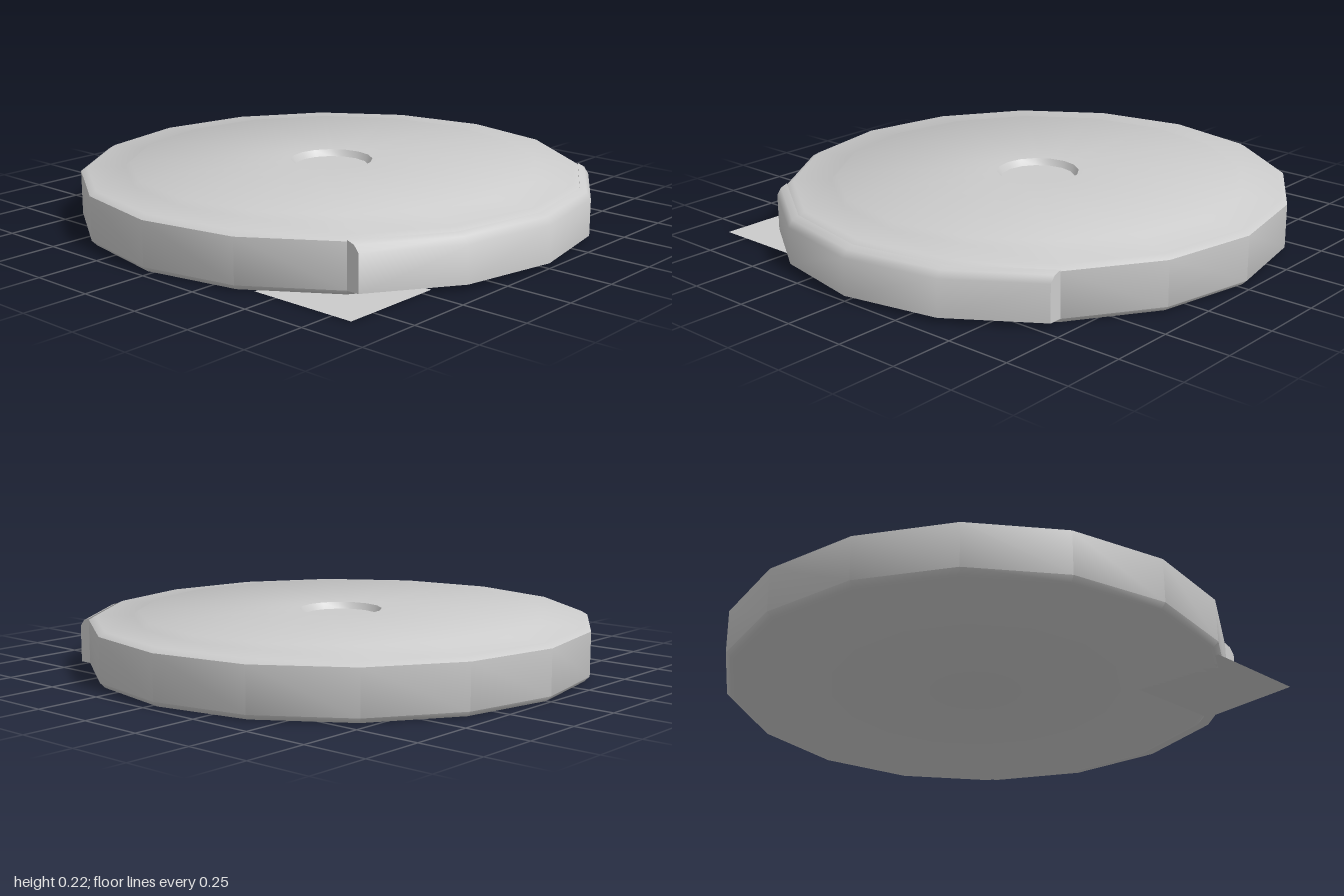
import * as THREE from 'three';
import { toCreasedNormals } from 'three/addons/utils/BufferGeometryUtils.js';

const SIDES = 16, RADIUS = 0.975, CENTER_Z = -0.025;

function part(name, geometry, side = THREE.FrontSide) {
  const mesh = new THREE.Mesh(geometry, new THREE.MeshStandardMaterial({ color: 0xcccccc, side }));
  mesh.name = name;
  return mesh;
}

// Round shell: chamfered rim, raised top plate and shallow centre recess
function bodyGeometry() {
  const profile = [
    [0, 0], [0.955, 0], [RADIUS, 0.02], [RADIUS, 0.19], [0.95, 0.205],
    [0.805, 0.205], [0.785, 0.225], [0.16, 0.225], [0.145, 0.2], [0, 0.2],
  ].map(([r, y]) => new THREE.Vector2(r, y));
  return toCreasedNormals(new THREE.LatheGeometry(profile, SIDES), 0.85);
}

// Front bumper: a quarter of the rim pushed forward, with a rounded upper edge
function bumperGeometry() {
  const section = [[0, 0.02], [0.05, 0.02], [0.05, 0.16], [0.03, 0.185], [0, 0.195]]; // forward, y
  const n = section.length, steps = SIDES / 4;
  const positions = [], index = [];
  for (let i = 0; i <= steps; i++) {
    const a = -Math.PI / 4 + (i * Math.PI * 2) / SIDES;
    for (const [forward, y] of section) {
      positions.push(RADIUS * Math.sin(a), y, RADIUS * Math.cos(a) + forward);
    }
  }
  for (let i = 0; i < steps; i++) {
    for (let j = 0; j < n - 1; j++) {
      const a = i * n + j, b = a + n;
      index.push(a, b, b + 1, a, b + 1, a + 1);
    }
  }
  // End caps
  const last = steps * n;
  for (let j = 1; j < n - 1; j++) {
    index.push(0, j, j + 1);
    index.push(last, last + j + 1, last + j);
  }
  const geometry = new THREE.BufferGeometry();
  geometry.setAttribute('position', new THREE.Float32BufferAttribute(positions, 3));
  geometry.setIndex(index);
  return toCreasedNormals(geometry, 0.85);
}

// Thin flat corner tab lying on the floor
function tabGeometry() {
  const shape = new THREE.Shape();
  shape.moveTo(-0.857, -0.83);
  shape.lineTo(-0.45, -0.83);
  shape.lineTo(-0.45, -0.4);
  shape.lineTo(-0.857, -0.4);
  shape.closePath();
  return new THREE.ShapeGeometry(shape).rotateX(-Math.PI / 2);
}

export function createModel() {
  const model = new THREE.Group();
  model.name = 'roundFloorDevice';

  const body = part('body', bodyGeometry());
  const bumper = part('frontBumper', bumperGeometry(), THREE.DoubleSide);
  body.position.z = bumper.position.z = CENTER_Z;

  model.add(body, bumper, part('cornerTab', tabGeometry(), THREE.DoubleSide));
  return model;
}
